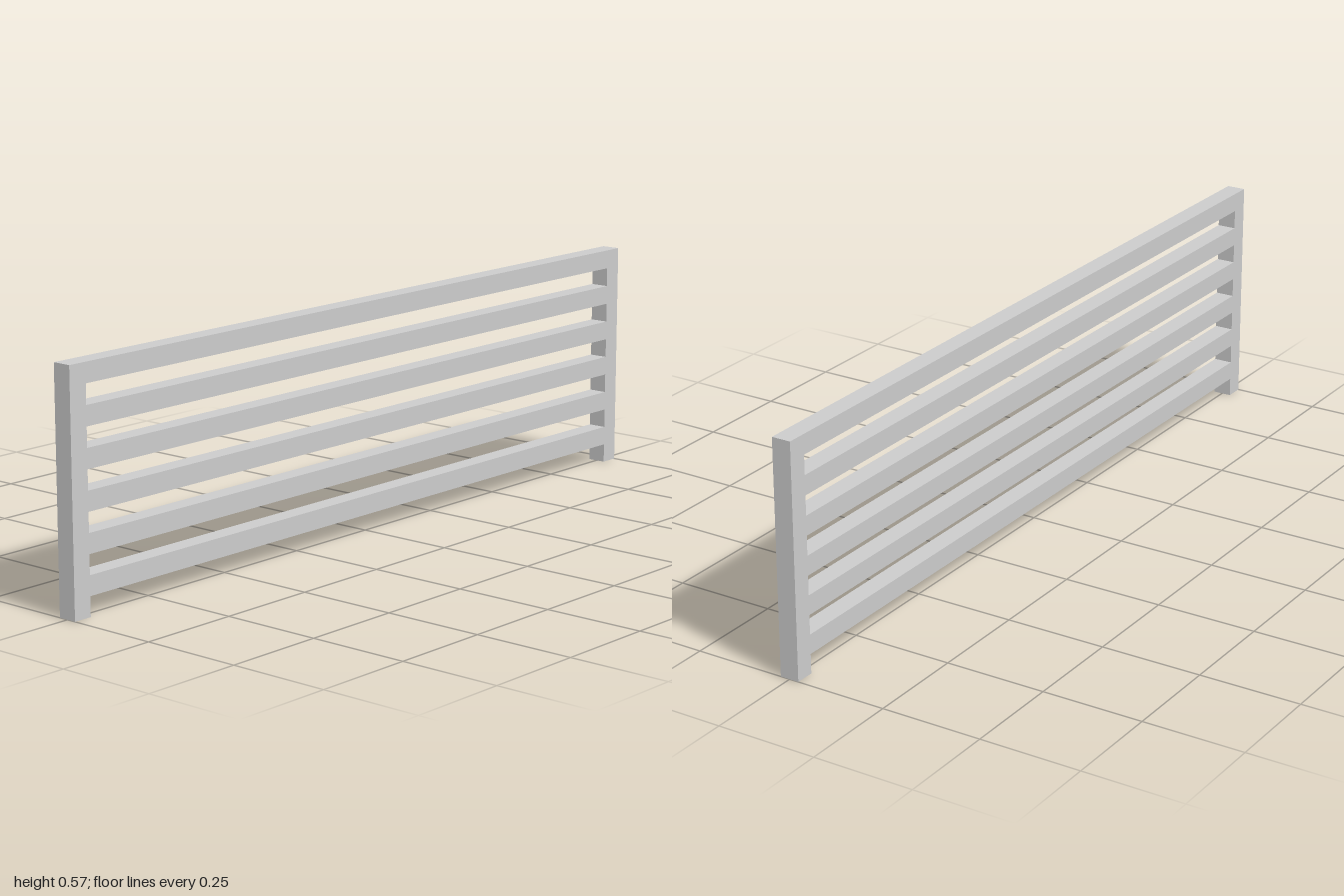
import * as THREE from 'three';

export function createModel() {
  const group = new THREE.Group();
  group.name = 'slattedFencePanel';
  const material = new THREE.MeshStandardMaterial({ color: 0xcccccc, flatShading: true });

  // Bars are square in section; rails and gaps share the same height
  const bar = 0.0478;
  const railCount = 6;
  const height = bar * railCount * 2;
  const width = 2;

  const addBar = (name, w, h, x, y) => {
    const mesh = new THREE.Mesh(new THREE.BoxGeometry(w, h, bar), material);
    mesh.name = name;
    mesh.position.set(x, y, 0);
    group.add(mesh);
  };

  // End posts
  for (const [name, side] of [['leftPost', 1], ['rightPost', -1]]) {
    addBar(name, bar, height, side * (width - bar) / 2, height / 2);
  }

  // Horizontal rails between the posts, the top one flush with the post tops
  for (let i = 0; i < railCount; i++) {
    addBar(`rail${i + 1}`, width - 2 * bar, bar, 0, bar * (2 * i + 1.5));
  }

  return group;
}
